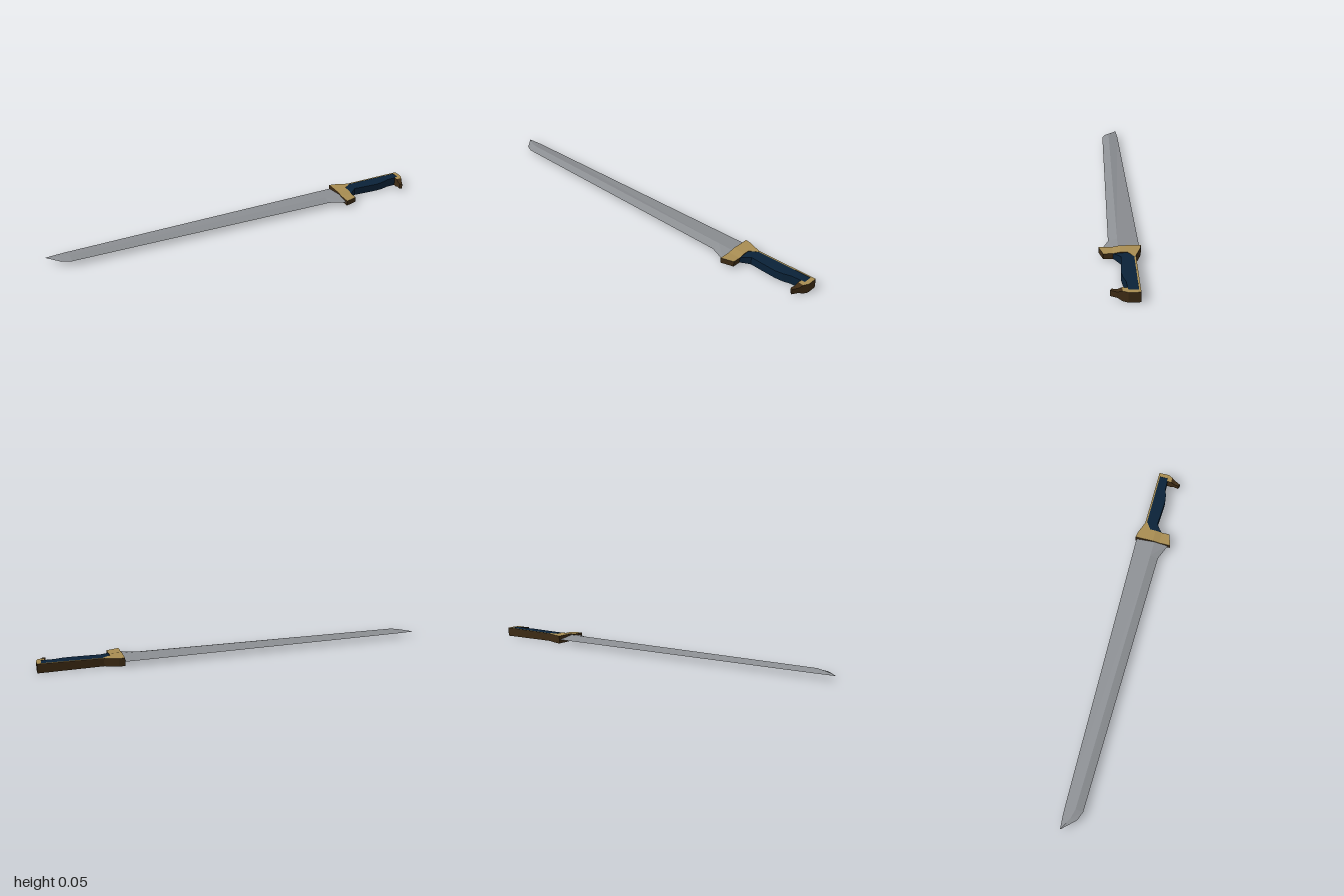
import * as THREE from 'three';

const CY = 0.0235; // mid-plane height of the sword lying on its side

const mat = (name, color) => {
  const m = new THREE.MeshStandardMaterial({ color });
  m.name = name;
  return m;
};

// Flat prism from an outline of [x, z] points; halfThick(x, z) gives its half height.
// The first material covers the broad faces, the second the rim.
function slab(name, outline, halfThick, faceMaterial, rimMaterial = faceMaterial) {
  const shape = new THREE.Shape(outline.map(([x, z]) => new THREE.Vector2(x, -z)));
  const geo = new THREE.ExtrudeGeometry(shape, { depth: 1, bevelEnabled: false });
  geo.rotateX(-Math.PI / 2);
  const p = geo.attributes.position;
  for (let i = 0; i < p.count; i++) {
    const side = p.getY(i) > 0.5 ? 1 : -1;
    p.setY(i, CY + side * halfThick(p.getX(i), p.getZ(i)));
  }
  geo.computeVertexNormals();
  const mesh = new THREE.Mesh(geo, [faceMaterial, rimMaterial]);
  mesh.name = name;
  return mesh;
}

// Linear ramp between two values, clamped
const ramp = (t, t0, t1, a, b) => THREE.MathUtils.lerp(a, b, THREE.MathUtils.clamp((t - t0) / (t1 - t0), 0, 1));

// Diamond-section blade lofted along x
function bladeGeometry() {
  // x, back edge z, ridge z, front edge z, half thickness
  const stations = [
    [-1, -0.055, -0.053, -0.051, 0.001],
    [-0.94, -0.06, -0.02, 0.013, 0.008],
    [-0.895, -0.062, -0.008, 0.03, 0.013],
    [0.5, -0.088, 0.008, 0.05, 0.013],
    [0.6, -0.09, 0.01, 0.09, 0.013],
  ];
  const rings = stations.map(([x, back, ridge, front, h]) => [
    [x, CY, back], [x, CY + h, ridge], [x, CY, front], [x, CY - h, ridge],
  ]);
  const pos = [];
  const quad = (a, b, c, d) => pos.push(...a, ...b, ...c, ...a, ...c, ...d);
  for (let i = 0; i < rings.length - 1; i++) {
    for (let j = 0; j < 4; j++) {
      const k = (j + 1) % 4;
      quad(rings[i][j], rings[i][k], rings[i + 1][k], rings[i + 1][j]);
    }
  }
  quad(rings[0][3], rings[0][2], rings[0][1], rings[0][0]);
  quad(...rings[rings.length - 1]);
  const geo = new THREE.BufferGeometry();
  geo.setAttribute('position', new THREE.Float32BufferAttribute(pos, 3));
  geo.computeVertexNormals();
  return geo;
}

export function createModel() {
  const steel = mat('blade steel', 0x8c8f93);
  const brass = mat('dull brass', 0xa88d52);
  const bronze = mat('dark bronze', 0x3f2c15);
  const navy = mat('navy grip', 0x0a2238);
  const model = new THREE.Group();
  model.name = 'sword';

  const blade = new THREE.Mesh(bladeGeometry(), steel);
  blade.name = 'blade';
  model.add(blade);

  // Guard: thick at the back, narrowing to a slimmer front arm; brass faces, bronze rim
  const guard = new THREE.Group();
  guard.name = 'guard';
  const guardHalf = (x, z) => ramp(z, 0, 0.035, 0.0205, 0.0135);
  guard.add(
    slab('guardBack', [[0.584, -0.095], [0.614, -0.09], [0.685, -0.065], [0.685, -0.055], [0.648, -0.03], [0.648, 0], [0.584, 0]], guardHalf, brass, bronze),
    slab('guardTaper', [[0.584, 0], [0.648, 0], [0.648, 0.035], [0.584, 0.035]], guardHalf, brass, bronze),
    slab('guardFront', [[0.584, 0.035], [0.648, 0.035], [0.648, 0.077], [0.584, 0.096]], guardHalf, brass, bronze),
  );
  model.add(guard);

  // Grip with a finger swell
  model.add(slab('grip', [
    [0.644, -0.058], [0.98, -0.058], [0.98, -0.012], [0.91, -0.01], [0.87, 0.002], [0.83, 0.007],
    [0.76, 0.004], [0.69, 0], [0.665, 0.018], [0.644, 0.036],
  ], (x, z) => ramp(z, 0, 0.036, ramp(x, 0.65, 1, 0.0195, 0.0228), 0.013), navy));

  // Strap along the back of the grip
  model.add(slab('backStrap', [[0.68, -0.066], [1, -0.066], [1, -0.058], [0.68, -0.058]],
    (x) => ramp(x, 0.68, 1, 0.0205, 0.0235), brass, bronze));

  // Pommel cap with a tapering hook
  const pommel = new THREE.Group();
  pommel.name = 'pommel';
  const hookHalf = (x, z) => ramp(z, 0.01, 0.03, 0.0235, 0.0135);
  pommel.add(
    slab('pommelCap', [[0.978, -0.058], [1, -0.058], [1, -0.013], [0.988, 0.01], [0.957, 0.01], [0.96, -0.014], [0.978, -0.014]], hookHalf, brass, bronze),
    slab('hookTaper', [[0.957, 0.01], [0.988, 0.01], [0.978, 0.03], [0.954, 0.03]], hookHalf, bronze),
    slab('hookTip', [[0.954, 0.03], [0.978, 0.03], [0.962, 0.06], [0.95, 0.052]], hookHalf, bronze),
  );
  model.add(pommel);

  return model;
}
